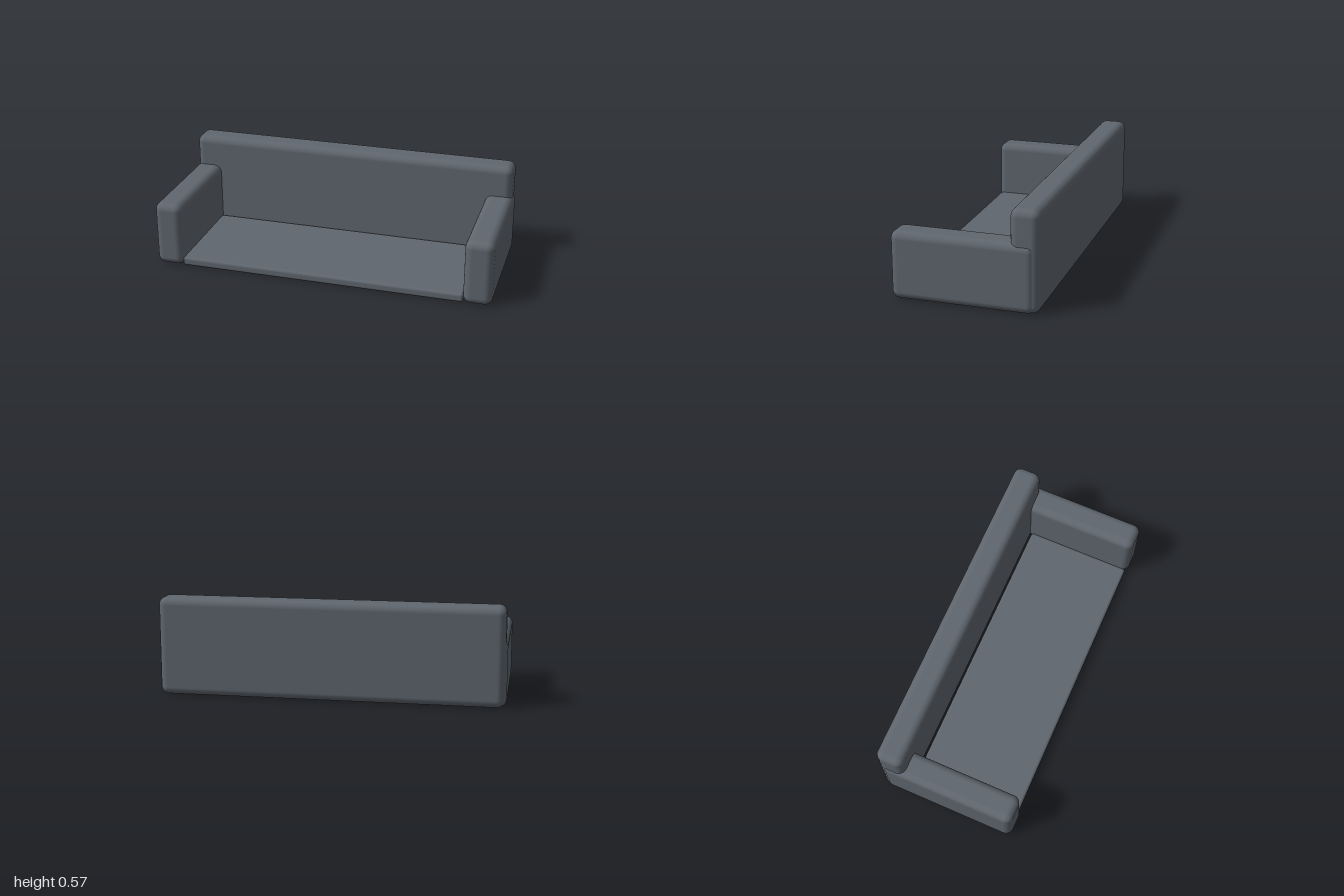
import * as THREE from 'three';
import { RoundedBoxGeometry } from 'three/addons/geometries/RoundedBoxGeometry.js';

export function createModel() {
  const sofa = new THREE.Group();
  sofa.name = 'sofa';
  const fabric = new THREE.MeshStandardMaterial({ color: 0x5f666e });
  fabric.name = 'slate grey fabric';

  // Rounded cushion block given by its minimum and maximum corners
  function block(name, min, max, radius) {
    const size = max.map((v, i) => v - min[i]);
    const mesh = new THREE.Mesh(new RoundedBoxGeometry(...size, 6, radius), fabric);
    mesh.position.set(...max.map((v, i) => (v + min[i]) / 2));
    mesh.name = name;
    sofa.add(mesh);
  }

  // Backrest
  block('backrest', [-0.99, 0, -0.412], [0.99, 0.57, -0.25], 0.045);

  // Thin seat base, leaving a narrow gap in front of the backrest
  block('seatBase', [-0.838, 0.002, -0.241], [0.838, 0.054, 0.4], 0.016);

  // Armrests, slightly proud of the backrest ends
  block('leftArm', [0.835, 0, -0.39], [1, 0.385, 0.412], 0.045);
  block('rightArm', [-1, 0, -0.39], [-0.835, 0.385, 0.412], 0.045);

  return sofa;
}
